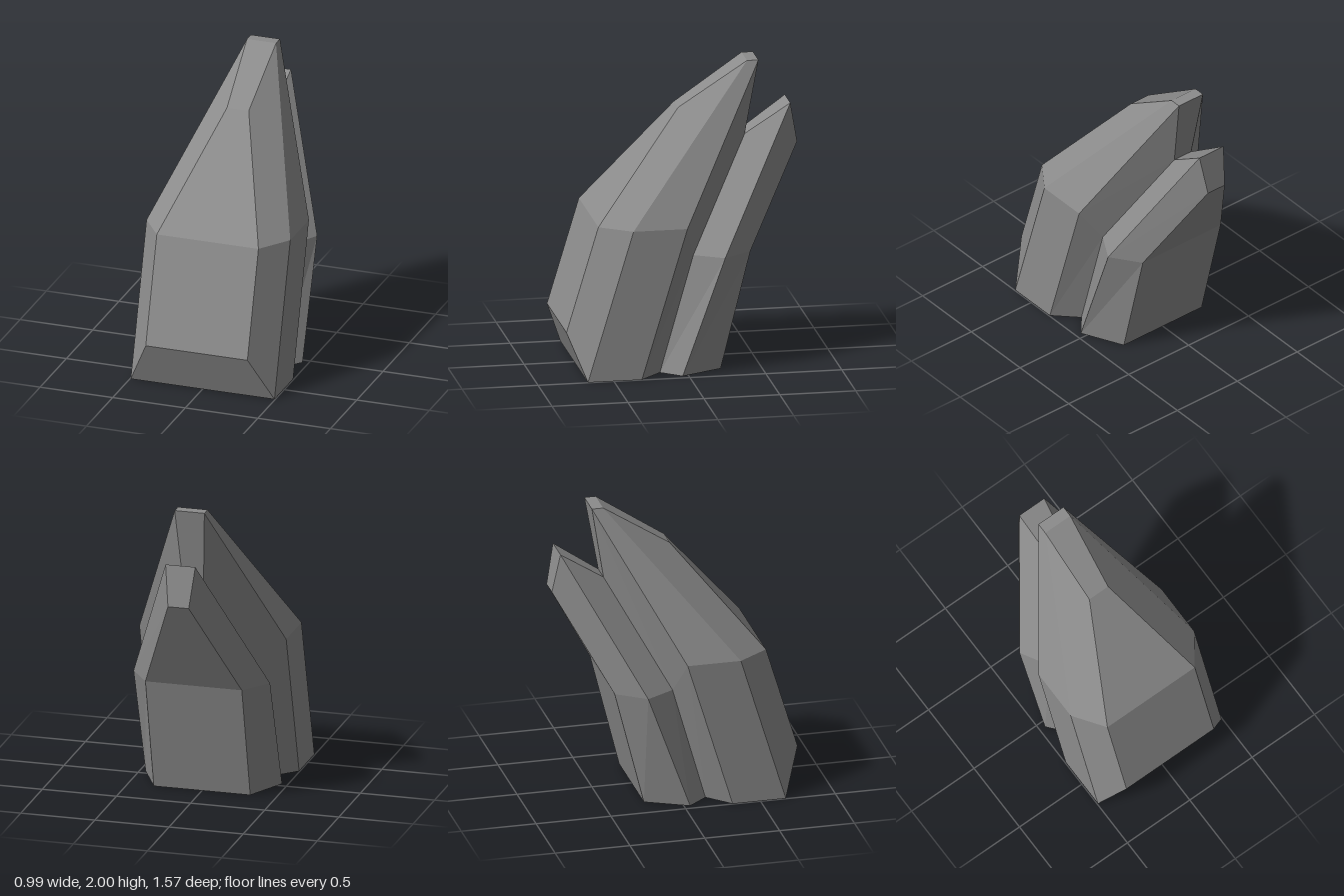
import * as THREE from 'three';

// Lofts a mirrored solid through levels. Each level lists its +x half, front to back.
function loft(levels) {
  const pos = [];
  const quad = (a, b, c, d) => pos.push(...a, ...b, ...c, ...a, ...c, ...d);
  const mirror = ([x, y, z]) => [-x, y, z];
  const rings = levels.map((half) => [...half, ...half.map(mirror).reverse()]);

  // walls
  for (let k = 0; k < rings.length - 1; k++) {
    const lo = rings[k], up = rings[k + 1];
    for (let i = 0; i < lo.length; i++) {
      const j = (i + 1) % lo.length;
      quad(lo[i], lo[j], up[j], up[i]);
    }
  }
  // bottom and top, as strips running across from side to side
  const bottom = levels[0], top = levels[levels.length - 1];
  for (let i = 0; i < top.length - 1; i++) {
    quad(top[i], top[i + 1], mirror(top[i + 1]), mirror(top[i]));
    quad(bottom[i + 1], bottom[i], mirror(bottom[i]), mirror(bottom[i + 1]));
  }
  const geo = new THREE.BufferGeometry();
  geo.setAttribute('position', new THREE.Float32BufferAttribute(pos, 3));
  geo.computeVertexNormals();
  return geo;
}

export function createModel() {
  const group = new THREE.Group();
  group.name = 'leaningRock';
  const stone = new THREE.MeshStandardMaterial({ color: 0x8c8c8c });
  stone.name = 'stoneGrey';

  const add = (name, levels) => {
    const mesh = new THREE.Mesh(loft(levels), stone);
    mesh.name = name;
    group.add(mesh);
  };

  // tall front slab: front ridge, two side edges, back ridge
  add('frontSlab', [
    [[0.35, 0.3, 0.785], [0.495, 0, 0.67], [0.495, 0, 0.315], [0.35, 0, 0.17]],
    [[0.35, 1, 0.575], [0.495, 1, 0.37], [0.495, 1, 0.015], [0.35, 0.78, -0.05]],
    [[0.075, 1.7, 0], [0.1, 2, -0.45], [0.1, 2, -0.525], [0.07, 1.5, -0.44]],
  ]);

  // shorter slab behind it: front ridge, side edge, back ridge
  add('rearSlab', [
    [[0.35, 0, 0.17], [0.46, 0, 0.04], [0.325, 0, -0.235]],
    [[0.35, 0.78, -0.05], [0.46, 0.78, -0.24], [0.325, 0.78, -0.43]],
    [[0.07, 1.5, -0.44], [0.1, 1.7, -0.735], [0.07, 1.43, -0.785]],
  ]);

  return group;
}
